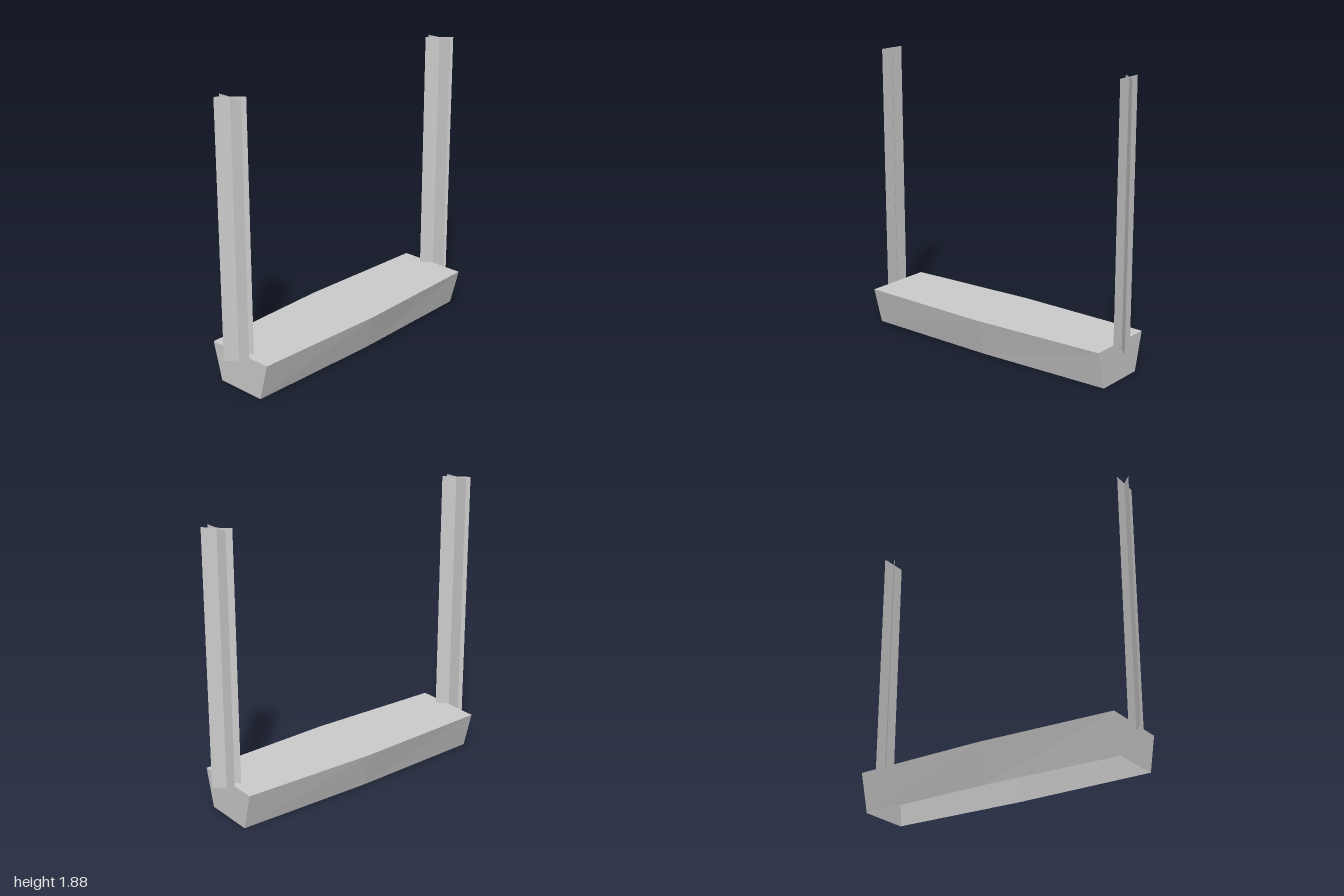
import * as THREE from 'three';

const grey = new THREE.MeshStandardMaterial({ color: 0xcccccc, side: THREE.DoubleSide });
grey.name = 'light grey';

// Open-bottomed shell lofted through sections [x, half depth at base, half depth at top]
function shell(name, sections, height, inward) {
  const rings = sections.map(([x, b, t]) => [[x, 0, b], [x, height, t], [x, height, -t], [x, 0, -b]]);
  const pos = [];
  const quad = (...q) => {
    if (inward) q.reverse();
    for (const i of [0, 1, 2, 0, 2, 3]) pos.push(...q[i]);
  };
  for (let i = 0; i < rings.length - 1; i++) {
    const a = rings[i], b = rings[i + 1];
    for (let j = 0; j < 3; j++) quad(a[j], b[j], b[j + 1], a[j + 1]);
  }
  const f = rings[0], l = rings[rings.length - 1];
  quad(f[3], f[0], f[1], f[2]);
  quad(l[0], l[3], l[2], l[1]);
  const geo = new THREE.BufferGeometry();
  geo.setAttribute('position', new THREE.Float32BufferAttribute(pos, 3));
  geo.computeVertexNormals();
  const mesh = new THREE.Mesh(geo, grey);
  mesh.name = name;
  return mesh;
}

// Hanger made of two thin crossed strips
function hanger(name, x) {
  const group = new THREE.Group();
  group.name = name;
  const bottom = 0.205, top = 1.88;
  for (const [part, turn] of [['crossStrip', Math.PI / 2], ['diagonalStrip', -Math.PI / 4]]) {
    const strip = new THREE.Mesh(new THREE.PlaneGeometry(0.184, top - bottom), grey);
    strip.name = part;
    strip.rotation.y = turn;
    strip.position.y = (top + bottom) / 2;
    group.add(strip);
  }
  group.position.x = x;
  return group;
}

export function createModel() {
  const model = new THREE.Group();
  model.name = 'hangingTrough';

  // Tapered body, slightly wider at the middle, with a hollow underside
  model.add(shell('body', [[-0.926, 0.172, 0.238], [0, 0.194, 0.268], [0.926, 0.172, 0.238]], 0.25, false));
  model.add(shell('hollowLining', [[-0.922, 0.17, 0.152], [0, 0.192, 0.174], [0.922, 0.17, 0.152]], 0.246, true));

  // Hangers at both ends
  model.add(hanger('leftHanger', 0.935), hanger('rightHanger', -0.935));
  return model;
}
